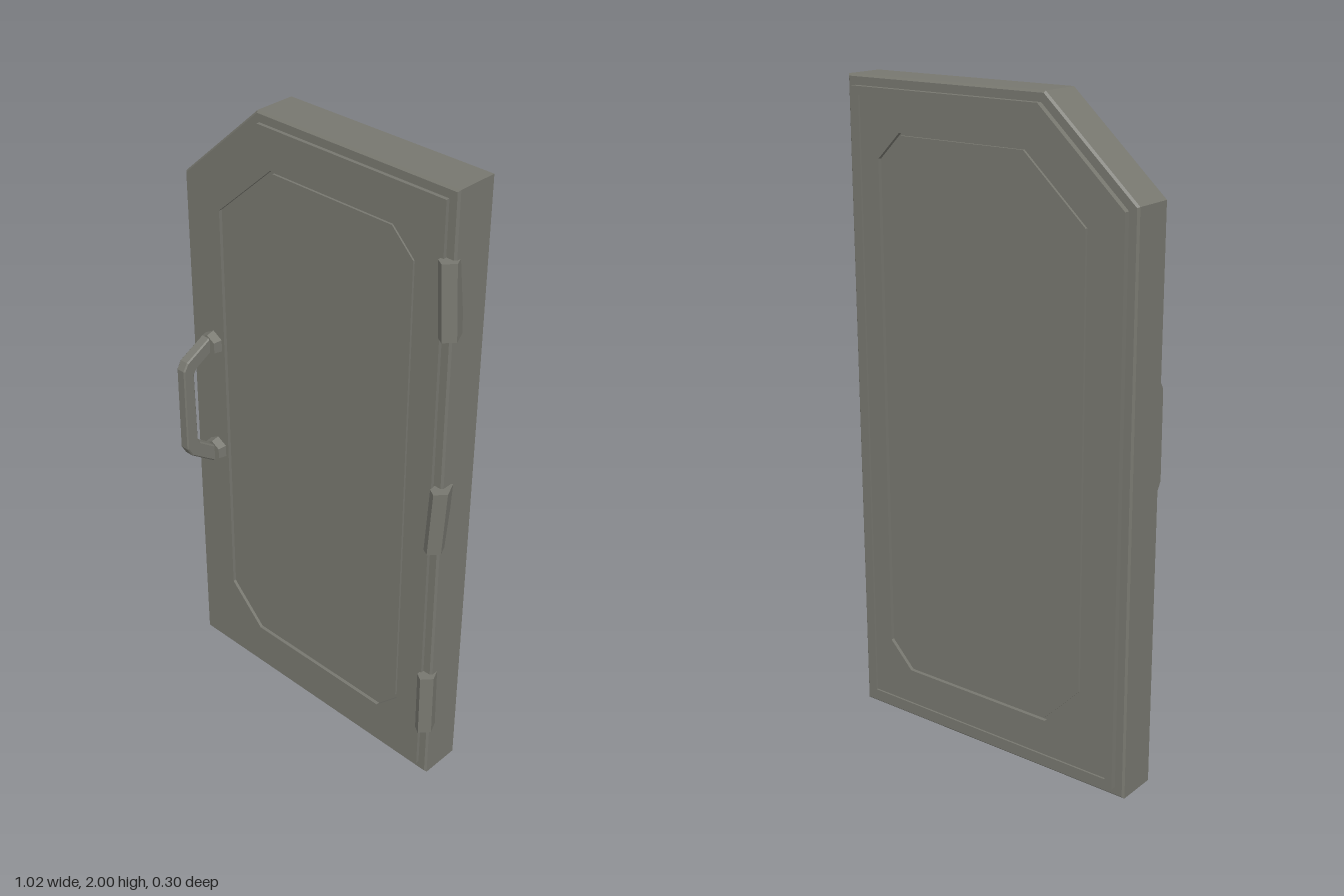
import * as THREE from 'three';

const steel = new THREE.MeshStandardMaterial({ color: 0x77776f });
steel.name = 'grey steel';

const toPoints = (list) => list.map(([x, y]) => new THREE.Vector2(x, y));

// Extrude an outline (with optional hole) from z0 to z1
function plate(name, outline, z0, z1, hole = null, bevel = 0) {
  const shape = new THREE.Shape(toPoints(outline));
  if (hole) shape.holes.push(new THREE.Path(toPoints(hole)));
  const geo = new THREE.ExtrudeGeometry(shape, {
    depth: z1 - z0 - 2 * bevel, bevelEnabled: bevel > 0,
    bevelThickness: bevel, bevelSize: bevel, bevelOffset: -bevel, bevelSegments: 1,
  });
  geo.translate(0, 0, z0 + bevel);
  const mesh = new THREE.Mesh(geo, steel);
  mesh.name = name;
  return mesh;
}

// Door outline with its clipped corner, inset by d
const doorOutline = (d) => [
  [-0.51 + d, 0.005 + d], [0.485 - d, 0.005 + d], [0.485 - d, 2 - d],
  [-0.21 + d * 0.35, 2 - d], [-0.51 + d, 1.73 - d * 0.45],
];

// Central panel with chamfered corners, inset by d
const panelOutline = (d) => [
  [-0.36 + d, 0.3 + d * 0.4], [-0.235 + d * 0.4, 0.172 + d], [0.285 - d * 0.4, 0.172 + d],
  [0.365 - d, 0.255 + d * 0.4], [0.365 - d, 1.77 - d * 0.4], [0.285 - d * 0.4, 1.85 - d],
  [-0.15 + d * 0.4, 1.85 - d], [-0.36 + d, 1.66 - d * 0.4],
];

// Faceted hinge knuckle: five-sided section swept between two heights
function hinge(y0, y1, topShift, bottomShift) {
  const section = [[0.45, -0.01], [0.455, 0.028], [0.478, 0.042], [0.505, 0.012], [0.484, -0.035]];
  const n = section.length;
  const pos = [];
  const index = [];
  [[y0, bottomShift], [y1, topShift]].forEach(([y, s]) => {
    section.forEach(([x, z]) => pos.push(x + s, y, z));
  });
  for (let i = 0; i < n; i++) {
    const j = (i + 1) % n;
    index.push(i, j, n + j, i, n + j, n + i);
    if (i > 0 && i < n - 1) index.push(0, i + 1, i, n, n + i, n + i + 1);
  }
  const geo = new THREE.BufferGeometry();
  geo.setAttribute('position', new THREE.Float32BufferAttribute(pos, 3));
  geo.setIndex(index);
  const flat = geo.toNonIndexed();
  flat.computeVertexNormals();
  const mesh = new THREE.Mesh(flat, steel);
  mesh.name = 'hinge';
  return mesh;
}

// Angular pull handle on two hexagonal mounts
function makeHandle() {
  const handle = new THREE.Group();
  handle.name = 'handle';
  const grip = plate('handleGrip', [
    [0.025, 0.805], [0.045, 0.79], [0.135, 0.855], [0.152, 0.885], [0.15, 1.165], [0.135, 1.19],
    [0.045, 1.237], [0.025, 1.215], [0.025, 1.195], [0.1, 1.155], [0.11, 1.14],
    [0.108, 0.905], [0.1, 0.89], [0.025, 0.835],
  ], 0, 0.034, null, 0.004);
  grip.geometry.rotateY(-Math.PI / 2);
  grip.geometry.translate(-0.394, 0, 0);
  handle.add(grip);
  for (const y of [0.825, 1.21]) {
    const geo = new THREE.CylinderGeometry(0.034, 0.041, 0.036, 6).toNonIndexed();
    geo.computeVertexNormals();
    const mount = new THREE.Mesh(geo, steel);
    mount.rotation.x = Math.PI / 2;
    mount.position.set(-0.405, y, 0.026);
    mount.name = 'handleMount';
    handle.add(mount);
  }
  return handle;
}

export function createModel() {
  const door = new THREE.Group();
  door.name = 'door';

  // Core slab
  door.add(plate('doorSlab', doorOutline(0), -0.132, 0.006, null, 0.006));

  // Front: raised frame around a slightly sunken panel
  door.add(plate('frontFrame', doorOutline(0.03), 0, 0.017, panelOutline(0)));
  door.add(plate('frontPanel', panelOutline(0.01), 0, 0.013));

  // Back: seal rim, inner frame and sunken panel
  door.add(plate('backRim', doorOutline(0.03), -0.15, -0.12, doorOutline(0.055)));
  door.add(plate('backFrame', doorOutline(0.053), -0.144, -0.12, panelOutline(0)));
  door.add(plate('backPanel', panelOutline(0.008), -0.14, -0.12));

  // Hinges along the left edge
  door.add(hinge(0.2, 0.42, -0.005, -0.003));
  door.add(hinge(0.895, 1.11, 0.006, -0.006));
  door.add(hinge(1.59, 1.81, -0.008, 0.005));

  door.add(makeHandle());
  return door;
}
